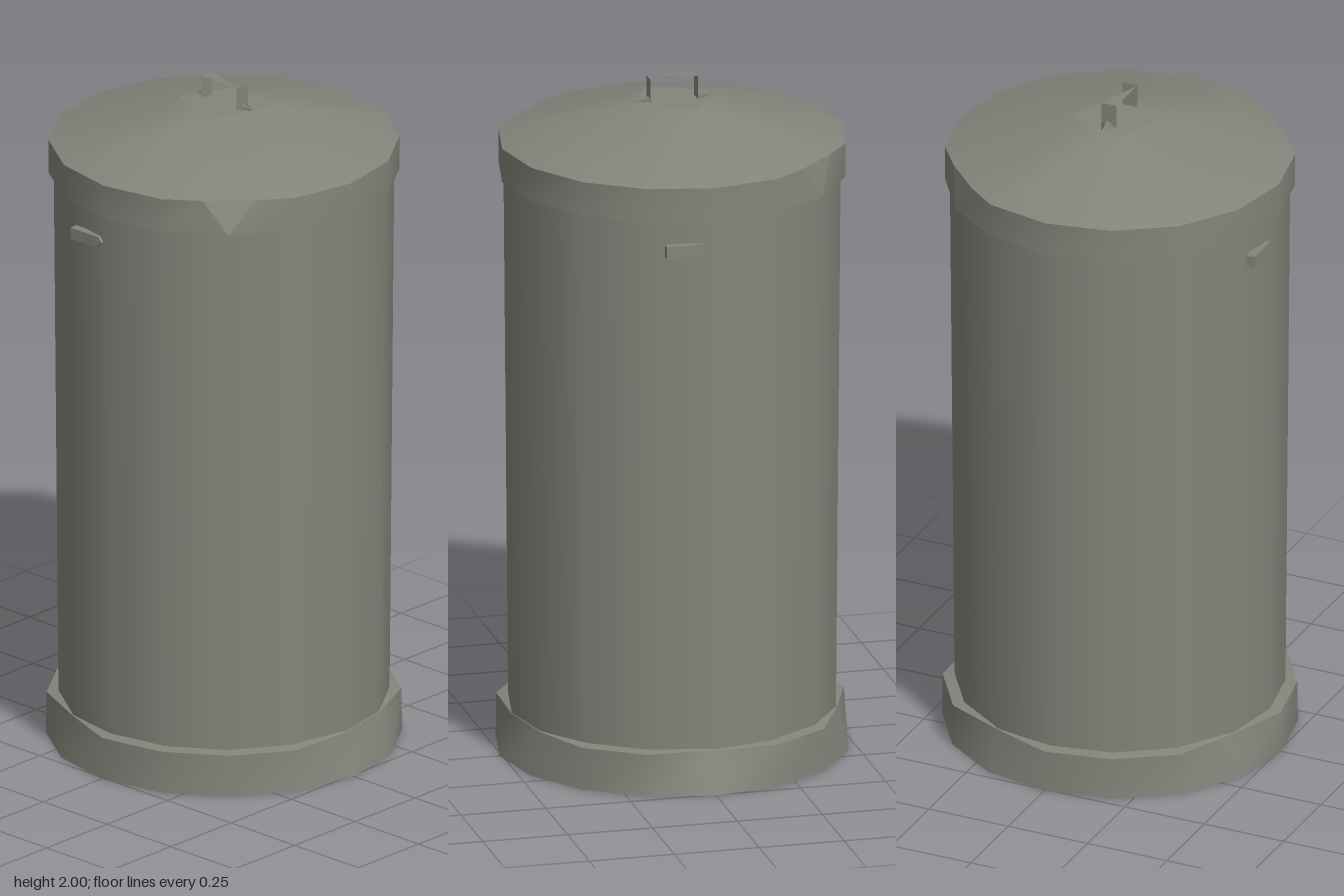
import * as THREE from 'three';

const SIDES = 16;
const STEP = (Math.PI * 2) / SIDES;
const grey = new THREE.MeshStandardMaterial({ color: 0x85847b });
grey.name = 'warm grey';
const greyThin = grey.clone();
greyThin.name = 'warm grey thin';
greyThin.side = THREE.DoubleSide;

// point on a circle; the angle runs from +x towards +z
const polar = (r, a, y) => [r * Math.cos(a), y, r * Math.sin(a)];
const ring = (y, radius) =>
  Array.from({ length: SIDES }, (_, i) => polar(typeof radius === 'function' ? radius(i) : radius, i * STEP, y));

// smooth mesh from points and triangle corners
function surface(name, points, index, material = grey) {
  const g = new THREE.BufferGeometry();
  g.setAttribute('position', new THREE.Float32BufferAttribute(points.flat(), 3));
  g.setIndex(index);
  g.computeVertexNormals();
  const m = new THREE.Mesh(g, material);
  m.name = name;
  return m;
}

// closed wall between two rings of equal length
function wall(name, low, high, skip = () => false) {
  const n = low.length, index = [];
  for (let i = 0; i < n; i++) {
    const j = (i + 1) % n;
    if (!skip(i)) index.push(i, n + i, j, j, n + i, n + j);
  }
  return surface(name, [...low, ...high], index);
}

// flat polygon, counter-clockwise seen from its front
function polygon(name, points, material) {
  const index = [];
  for (let i = 1; i < points.length - 1; i++) index.push(0, i, i + 1);
  return surface(name, points, index, material);
}

function makeBase() {
  const base = new THREE.Group();
  base.name = 'base';
  const dented = [0, 5, 9, 12, 15]; // places where the rim leans in to the body
  const foot = ring(0, 0.508);
  const rim = ring(0.125, (i) => (dented.includes(i) ? 0.474 : 0.506));
  base.add(wall('baseWall', foot, rim));
  base.add(wall('baseLedge', rim, ring(0.13, 0.47)));
  base.add(polygon('baseBottom', foot));
  return base;
}

function makeLid() {
  const lid = new THREE.Group();
  lid.name = 'lid';
  const low = [], high = [], notches = [];

  // outline with the corner cut off at two opposite notches
  ring(1.72, 0.5).forEach((p, i) => {
    if (i % 8 === 2) {
      const s = i === 2 ? 1 : -1;
      notches.push(low.length);
      low.push(p, p);
      high.push([s * 0.39, 1.82, s * 0.285], [s * 0.285, 1.82, s * 0.39]);
    } else {
      low.push(p);
      high.push([p[0], 1.82, p[2]]);
    }
  });
  lid.add(wall('lidBand', low, high, (i) => notches.includes(i)));
  for (const i of notches) lid.add(polygon('lidNotch', [low[i], high[i], high[i + 1]]));
  lid.add(wall('lidUnderside', ring(1.72, 0.46), ring(1.72, 0.5)));

  // slope from the round outline to a small turned square
  const n = high.length, index = [];
  const square = [0, 1, 2, 3].map((k) => polar(0.135, -STEP + (k * Math.PI) / 2, 1.93));
  const cornerFor = (i) => {
    const a = high[i], b = high[(i + 1) % n];
    const angle = Math.atan2(a[2] + b[2], a[0] + b[0]) + STEP;
    return (Math.round(angle / (Math.PI / 2)) + 4) % 4;
  };
  for (let i = 0; i < n; i++) {
    const before = cornerFor((i + n - 1) % n), after = cornerFor(i);
    if (before !== after) index.push(i, n + before, n + after);
    index.push(i, n + after, (i + 1) % n);
  }
  lid.add(surface('lidSlope', [...high, ...square], index));
  lid.add(polygon('lidTop', [...square].reverse()));
  return lid;
}

function makeKnob() {
  const knob = new THREE.Group();
  knob.name = 'lidHandle';
  for (const s of [-1, 1]) {
    // thin upright end and a small spiked foot
    const post = [[s * 0.07, 1.93, 0.022], [s * 0.07, 1.93, -0.025], [s * 0.07, 2, -0.025], [s * 0.07, 2, 0.022]];
    knob.add(polygon('handlePost', post, greyThin));
    const spike = new THREE.Mesh(new THREE.ConeGeometry(0.02, 0.045, 4), grey);
    spike.name = 'handleFoot';
    spike.rotation.z = -s * Math.PI / 2;
    spike.position.set(s * 0.0925, 1.935, -0.005);
    spike.scale.x = 0.5;
    knob.add(spike);
  }
  // triangular grip
  knob.add(polygon('handleGrip', [[-0.07, 2, -0.025], [-0.07, 2, 0.022], [0.07, 2, 0.022]], greyThin));
  return knob;
}

function makeSideGrip() {
  const s = new THREE.Shape();
  s.moveTo(-0.14, 1.615);
  s.lineTo(-0.04, 1.617);
  s.lineTo(-0.02, 1.635);
  s.lineTo(-0.03, 1.65);
  s.lineTo(-0.14, 1.65);
  const grip = new THREE.Mesh(new THREE.ExtrudeGeometry(s, { depth: 0.025, bevelEnabled: false }), grey);
  grip.name = 'sideGrip';
  grip.position.z = 0.464;
  return grip;
}

export function createModel() {
  const model = new THREE.Group();
  model.name = 'bin';

  // slightly tapered barrel
  const body = new THREE.Mesh(new THREE.CylinderGeometry(0.486, 0.472, 1.67, SIDES, 1, true), grey);
  body.name = 'body';
  body.position.y = 0.925;
  model.add(body, makeBase(), makeLid(), makeKnob());

  // one grip at the front, one at the back
  for (const turn of [0, Math.PI]) {
    const side = new THREE.Group();
    side.name = turn ? 'backGrip' : 'frontGrip';
    side.rotation.y = turn;
    side.add(makeSideGrip());
    model.add(side);
  }
  return model;
}
